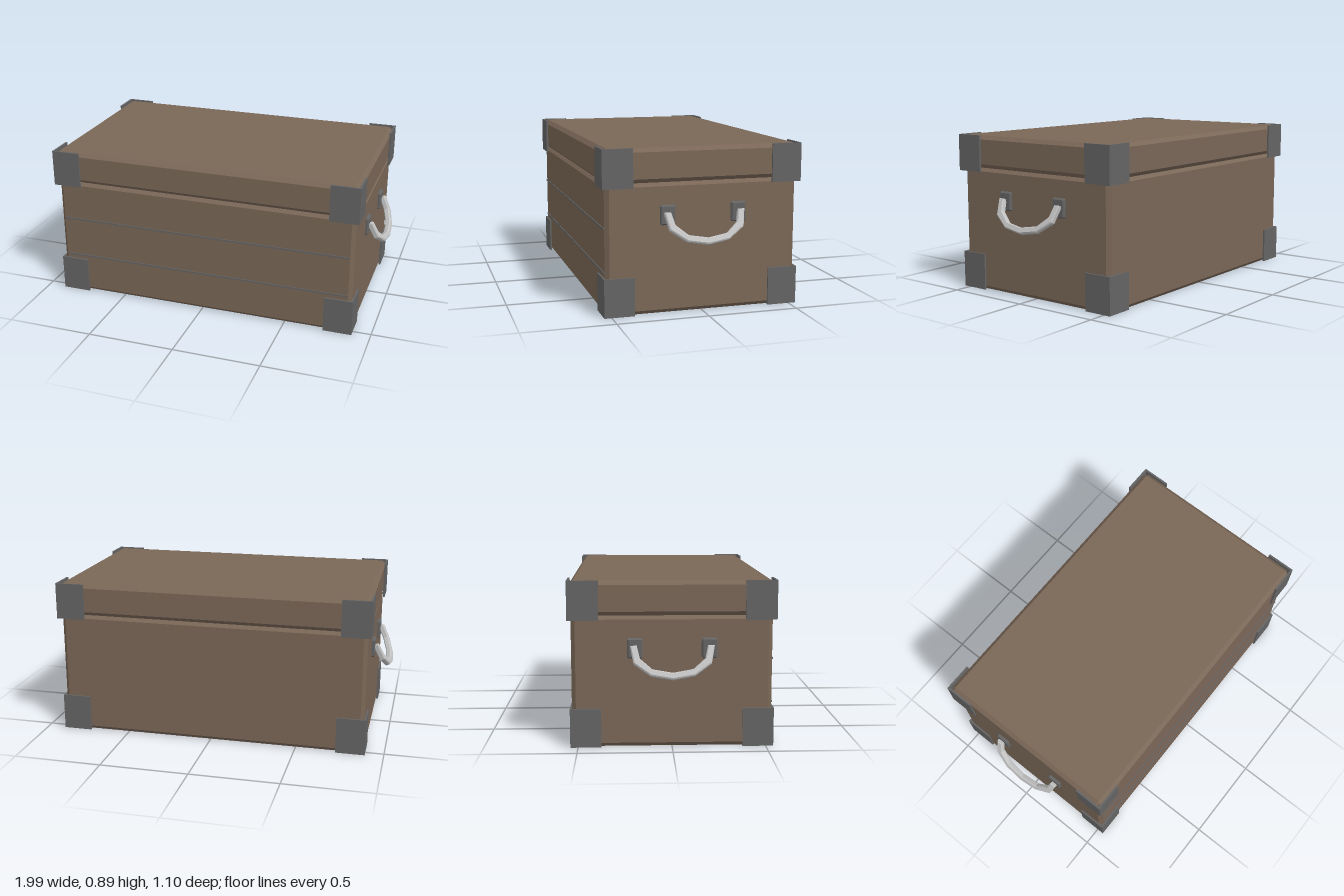
import * as THREE from 'three';
import { ConvexGeometry } from 'three/addons/geometries/ConvexGeometry.js';

const wood = new THREE.MeshStandardMaterial({ name: 'brown panel', color: 0x7a6757 });
const metal = new THREE.MeshStandardMaterial({ name: 'dark metal', color: 0x646464 });
const steel = new THREE.MeshStandardMaterial({ name: 'light steel', color: 0xc4c4c4 });

function add(parent, name, geometry, material, x = 0, y = 0, z = 0) {
  const mesh = new THREE.Mesh(geometry, material);
  mesh.name = name;
  mesh.position.set(x, y, z);
  parent.add(mesh);
  return mesh;
}

// Box with all edges chamfered by b
function chamferBox(w, h, d, b) {
  const points = [];
  for (const sx of [-1, 1]) for (const sy of [-1, 1]) for (const sz of [-1, 1]) {
    const x = w / 2, y = h / 2, z = d / 2;
    points.push(
      new THREE.Vector3(sx * x, sy * (y - b), sz * (z - b)),
      new THREE.Vector3(sx * (x - b), sy * y, sz * (z - b)),
      new THREE.Vector3(sx * (x - b), sy * (y - b), sz * z));
  }
  return new ConvexGeometry(points);
}

function polygon(points) {
  return new THREE.Shape(points.map(([x, y]) => new THREE.Vector2(x, y)));
}

// Four L-shaped corner guards hanging down from height top
function addGuards(parent, name, x, z, top, height) {
  const leg = 0.165, t = 0.011;
  const shape = polygon([[0, 0], [-leg, 0], [-leg, -t], [-t, -t], [-t, -leg], [0, -leg]]);
  const geometry = new THREE.ExtrudeGeometry(shape, { depth: height, bevelEnabled: false });
  geometry.rotateX(Math.PI / 2);
  [[1, 1], [1, -1], [-1, -1], [-1, 1]].forEach(([sx, sz], i) => {
    add(parent, name, geometry, metal, sx * x, top, sz * z).rotation.y = i * Math.PI / 2;
  });
}

// Drop handle with its two mounting plates, on the +x side
function makeHandle() {
  const group = new THREE.Group();
  group.name = 'sideHandle';
  const plate = chamferBox(0.026, 0.106, 0.082, 0.007);
  for (const s of [-1, 1]) add(group, 'handlePlate', plate, metal, 0.89, 0.533, s * 0.196);

  // Faceted bow, drawn flat and then tilted outward
  const outer = [[0.222, 0.182], [0.203, 0.085], [0.114, 0.02], [0, 0]];
  const inner = [[0, 0.036], [0.106, 0.055], [0.170, 0.112], [0.186, 0.182]];
  const mirror = (list) => list.slice().reverse().filter(p => p[0] > 0).map(([x, y]) => [-x, y]);
  const shape = polygon([...outer, ...mirror(outer), ...mirror(inner), ...inner]);
  const bow = new THREE.ExtrudeGeometry(shape, {
    depth: 0.021, bevelEnabled: true, bevelSegments: 1,
    bevelSize: 0.006, bevelOffset: -0.006, bevelThickness: 0.006,
  });
  bow.translate(0, 0, -0.0105);
  bow.rotateY(Math.PI / 2);
  bow.rotateZ(0.44);
  add(group, 'handleBow', bow, steel, 0.984, 0.382, 0);
  return group;
}

export function createModel() {
  const model = new THREE.Group();
  model.name = 'storageChest';

  // Body and lid
  add(model, 'body', chamferBox(1.77, 0.706, 1.062, 0.022), wood, 0, 0.353, 0);
  add(model, 'lid', chamferBox(1.786, 0.184, 1.078, 0.022), wood, 0, 0.796, 0);

  // Metal corners
  addGuards(model, 'lidCorner', 0.905, 0.55, 0.89, 0.208);
  addGuards(model, 'bodyCorner', 0.895, 0.541, 0.208, 0.208);

  // Slim trim lines on the front
  for (const y of [0.235, 0.47]) {
    add(model, 'frontTrim', new THREE.BoxGeometry(1.72, 0.01, 0.009), metal, 0, y, 0.5315);
  }

  // Handles on both ends
  for (const angle of [0, Math.PI]) {
    const handle = makeHandle();
    handle.rotation.y = angle;
    model.add(handle);
  }
  return model;
}
